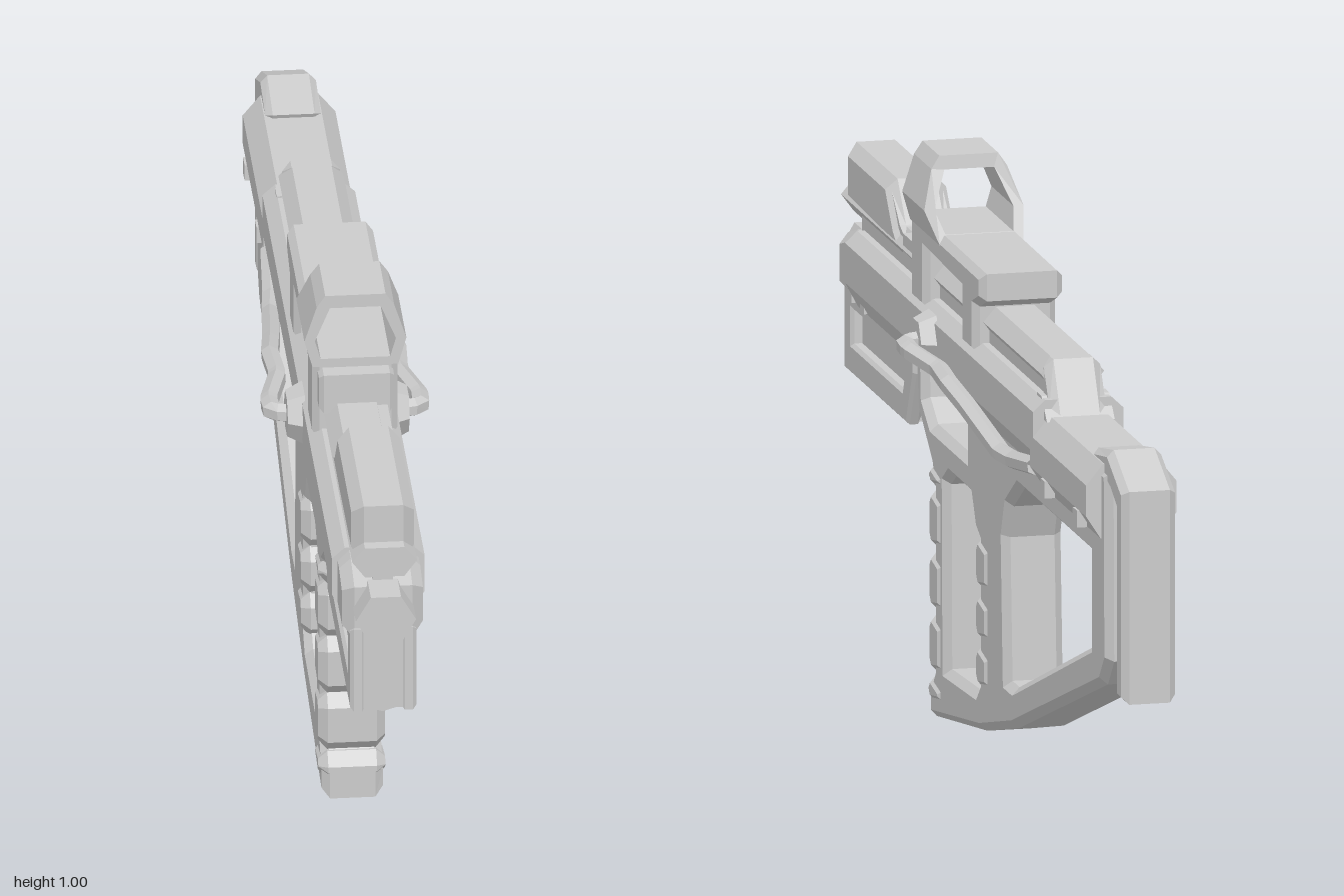
import * as THREE from 'three';

const mat = new THREE.MeshStandardMaterial({ color: 0xcccccc, flatShading: true, side: THREE.DoubleSide });

export function createModel() {
  const root = new THREE.Group();
  root.position.x = -0.008;

  const add = (name, geo, x = 0, y = 0, z = 0) => {
    const m = new THREE.Mesh(geo, mat);
    m.name = name;
    m.position.set(x, y, z);
    root.add(m);
    return m;
  };
  const vec = pts => pts.map(p => new THREE.Vector2(p[0], p[1]));
  const extrude = (pts, holes, width, bevel) => {
    const s = new THREE.Shape(vec(pts));
    holes.forEach(h => s.holes.push(new THREE.Path(vec(h))));
    const g = new THREE.ExtrudeGeometry(s, {
      depth: width - 2 * bevel, bevelEnabled: bevel > 0, bevelSegments: 1,
      bevelSize: bevel, bevelThickness: bevel, bevelOffset: -bevel,
    });
    return g.translate(0, 0, bevel - width / 2);
  };
  // Side profile given as (z, y), extruded symmetrically across x
  const side = (name, pts, width, bevel = 0, holes = [], x = 0) =>
    add(name, extrude(pts, holes, width, bevel).rotateY(-Math.PI / 2), x);
  // Cross-section given as (x, y), running from z0 to z1
  const along = (name, pts, z0, z1, holes = []) =>
    add(name, extrude(pts, holes, z1 - z0, 0), 0, 0, (z0 + z1) / 2);
  // Mirrors the right half of a cross-section
  const mirror = half => [...half, ...half.map(([x, y]) => [-x, y]).reverse()];

  // Skeleton frame with window, grip opening and stock opening
  side('frame', [
    [0.455, 0.65], [0.455, 0.6], [0.445, 0.53], [0.345, 0.455], [0.325, 0.42], [0.325, 0.1], [0.36, 0.06],
    [0.36, 0.008], [0, 0.062], [-0.23, 0.118], [-0.86, 0.335], [-0.905, 0.385], [-0.9, 0.72], [-0.78, 0.72], [-0.76, 0.65],
  ], 0.106, 0.014, [
    [[0.41, 0.62], [0.095, 0.62], [0.095, 0.525], [0.35, 0.525], [0.405, 0.56]],
    [[0.255, 0.44], [0.22, 0.462], [0.065, 0.462], [0.035, 0.41], [0.002, 0.395], [0.002, 0.15], [0.03, 0.125], [0.25, 0.115]],
    [[-0.165, 0.44], [-0.19, 0.5], [-0.27, 0.55], [-0.79, 0.55], [-0.79, 0.39], [-0.23, 0.19], [-0.18, 0.19]],
  ]);

  // Finger ribs on both grips
  const rib = (name, back, front, y0, y1) => side(name, [
    [back, y0 + 0.012], [front - 0.02, y0], [front, y0 + 0.022], [front, y1 - 0.022], [front - 0.02, y1], [back, y1 - 0.012],
  ], 0.116, 0.016);
  [[0.31, 0.42], [0.2, 0.31], [0.09, 0.2]].forEach(([a, b]) => rib('foregripRib', 0.265, 0.352, a, b));
  rib('foregripCollar', 0.265, 0.357, 0.415, 0.465);
  rib('foregripFoot', 0.265, 0.36, 0.035, 0.09);
  [[0.31, 0.41], [0.22, 0.31], [0.135, 0.22]].forEach(([a, b]) => rib('rearGripRib', -0.07, 0.02, a, b));

  // Main receiver: faceted hull, narrow nose and stepped rear
  const hull = mirror([[0.058, 0.755], [0.08, 0.735], [0.08, 0.665], [0.056, 0.62]]);
  along('receiver', hull, -0.49, 0.85);
  along('receiverRear', mirror([[0.05, 0.727], [0.08, 0.69], [0.08, 0.635], [0.054, 0.595]]), -0.87, -0.47);
  side('receiverStep', [[-0.44, 0.758], [-0.47, 0.758], [-0.51, 0.72], [-0.44, 0.72]], 0.12);
  side('receiverNose', [[0.95, 0.73], [0.95, 0.63], [0.8, 0.63], [0.8, 0.75], [0.88, 0.75]], 0.14, 0.02);

  // Fore-end with recessed side panels
  along('foreEndCore', mirror([[0.036, 0.65], [0.036, 0.493], [0, 0.482]]), 0.53, 0.94);
  for (const s of [-1, 1]) {
    side('foreEndPanel', [[0.953, 0.65], [0.953, 0.49], [0.505, 0.49], [0.455, 0.59], [0.455, 0.65]], 0.026, 0.006,
      [[[0.9, 0.605], [0.505, 0.605], [0.535, 0.545], [0.9, 0.545]]], s * 0.044);
  }
  for (const z of [0.93, 0.525]) add('foreEndWall', new THREE.BoxGeometry(0.1, 0.15, 0.04), 0, 0.569, z);

  // Lower barrel and its joint to the upper tube
  const hex = (r, len) => new THREE.CylinderGeometry(r, r, len, 6).rotateX(Math.PI / 2);
  add('barrel', hex(0.052, 0.2).rotateZ(Math.PI / 2), 0, 0.69, 0.9);
  add('barrelJoint', new THREE.BoxGeometry(0.035, 0.06, 0.05), 0, 0.745, 0.91);

  // Upper tube running beneath the sight, with sloped tail
  const tube = mirror([[0.034, 0.818], [0.056, 0.792], [0.034, 0.762]]);
  along('upperTube', tube, -0.45, 0.975);
  side('tubeTail', [[-0.43, 0.818], [-0.455, 0.818], [-0.505, 0.73], [-0.43, 0.73]], 0.1, 0.015);
  along('tubeBed', mirror([[0.045, 0.78], [0.045, 0.745]]), -0.45, 0.87);
  side('topHousing', [[0.953, 0.888], [0.953, 0.78], [0.56, 0.78], [0.6, 0.82], [0.66, 0.888]], 0.108, 0.02);
  side('topHousingRamp', [[0.66, 0.87], [0.66, 0.8], [0.55, 0.8], [0.6, 0.82]], 0.09);
  add('sidePort', new THREE.BoxGeometry(0.028, 0.035, 0.1), 0.038, 0.8, 0.5);

  // Sight mount: bridge with two clamps around the upper tube
  side('sightMount', [
    [0.41, 0.89], [0.41, 0.735], [0.312, 0.735], [0.312, 0.84], [0.05, 0.832], [0.05, 0.735], [-0.04, 0.735],
    [-0.04, 0.82], [-0.09, 0.84], [-0.09, 0.888],
  ], 0.148, 0.012);
  side('sightFront', [[0.44, 0.873], [0.44, 0.8], [0.39, 0.8], [0.39, 0.873]], 0.13, 0.008);

  // Hooded sight ring, rear face swept back towards its base
  const hood = along('sightHood',
    mirror([[0.052, 1.012], [0.067, 0.99], [0.088, 0.925], [0.074, 0.875]]), 0.29, 0.41,
    [mirror([[0.044, 0.988], [0.07, 0.925], [0.06, 0.89]])]);
  const pos = hood.geometry.attributes.position;
  for (let i = 0; i < pos.count; i++) {
    if (pos.getZ(i) < 0) {
      const y = pos.getY(i);
      pos.setZ(i, pos.getZ(i) - (y > 0.95 ? (1.012 - y) * 0.16 : 0.01 + (0.95 - y) * 1.1));
    }
  }
  hood.geometry.computeVertexNormals();

  // Butt plate hooking over the rear of the stock
  side('buttPlate', [
    [-0.78, 0.735], [-0.89, 0.755], [-1, 0.705], [-1, 0.33], [-0.948, 0.33], [-0.948, 0.665],
    [-0.91, 0.685], [-0.87, 0.695], [-0.8, 0.695],
  ], 0.096, 0.012);

  // Side rods, their hexagonal bosses and the small studs
  for (const s of [-1, 1]) {
    const path = new THREE.CurvePath();
    const p = [
      [0.07, 0.7, 0.25], [0.128, 0.698, 0.235], [0.13, 0.695, 0.19], [0.105, 0.685, 0.08], [0.11, 0.68, -0.01],
      [0.1, 0.66, -0.1], [0.085, 0.618, -0.28], [0.078, 0.618, -0.34], [0.07, 0.635, -0.47],
    ].map(([x, y, z]) => new THREE.Vector3(s * x, y, z));
    for (let i = 1; i < p.length; i++) path.add(new THREE.LineCurve3(p[i - 1], p[i]));
    add('sideRod', new THREE.TubeGeometry(path, 48, 0.017, 6));
    add('rodBoss', new THREE.CylinderGeometry(0.04, 0.055, 0.03, 6).rotateZ(-s * Math.PI / 2), s * 0.09, 0.7, 0.245);
    for (const [x, y, z] of [[0.056, 0.64, 0.88], [0.056, 0.64, 0.79], [0.075, 0.62, -0.575], [0.075, 0.62, -0.805]]) {
      add('stud', new THREE.BoxGeometry(0.018, 0.03, 0.03), s * x, y, z);
    }
  }
  return root;
}
